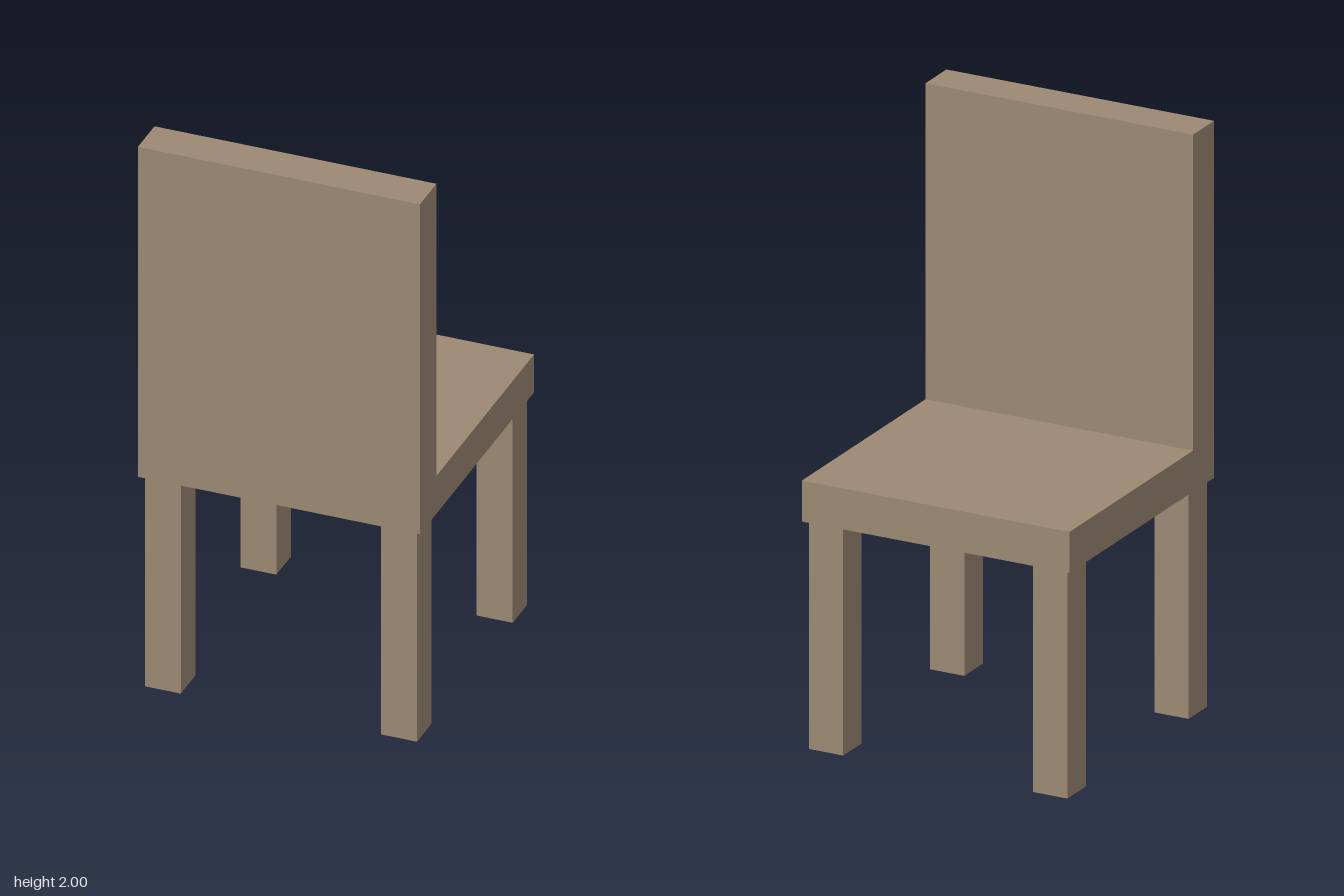
import * as THREE from 'three';

export function createModel() {
  const chair = new THREE.Group();
  chair.name = 'chair';
  const wood = new THREE.MeshStandardMaterial({ color: 0x9c8973 });

  const half = 0.486;      // half width and half depth of the seat
  const seatBottom = 0.78;
  const seatTop = 0.92;
  const backFace = 0.345;  // inner face of the backrest, which stands on the +z side

  // Seat and backrest: one L-shaped side profile (z, y) extruded across the width
  const profile = new THREE.Shape([
    [-half, seatBottom], [half, seatBottom], [half, 2],
    [backFace, 2], [backFace, seatTop], [-half, seatTop],
  ].map(([z, y]) => new THREE.Vector2(z, y)));
  const bodyGeometry = new THREE.ExtrudeGeometry(profile, { depth: 2 * half, bevelEnabled: false });
  bodyGeometry.translate(0, 0, -half).rotateY(-Math.PI / 2);
  const body = new THREE.Mesh(bodyGeometry, wood);
  body.name = 'seatAndBackrest';
  chair.add(body);

  // Four square legs, slightly inset from the seat corners
  const legWidth = 0.124;
  const legOffset = 0.407;
  const legGeometry = new THREE.BoxGeometry(legWidth, seatBottom, legWidth);
  for (const [side, sx] of [['left', 1], ['right', -1]]) {
    for (const [end, sz] of [['Front', 1], ['Back', -1]]) {
      const leg = new THREE.Mesh(legGeometry, wood);
      leg.name = `${side}${end}Leg`;
      leg.position.set(sx * legOffset, seatBottom / 2, sz * legOffset);
      chair.add(leg);
    }
  }

  return chair;
}
